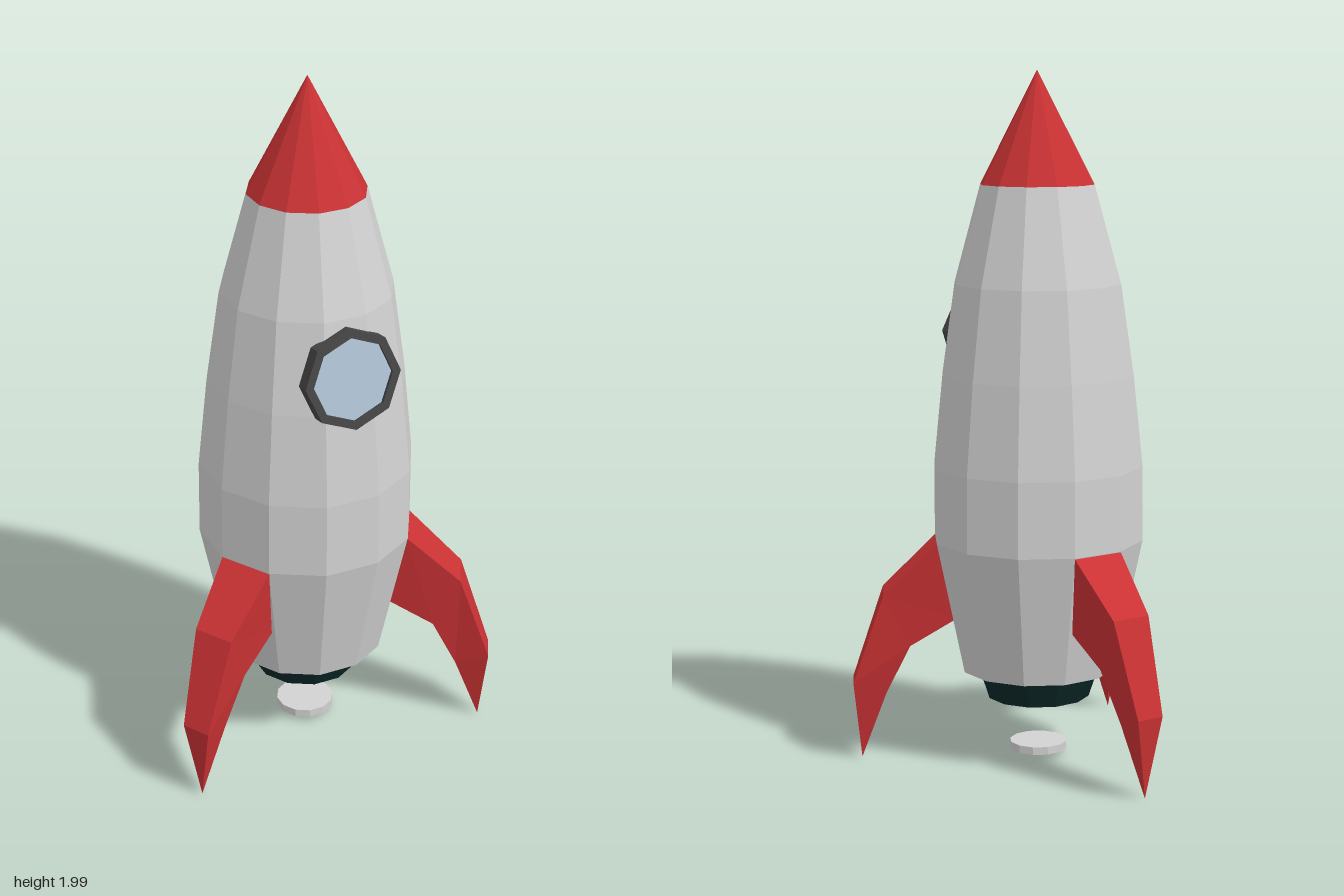
import * as THREE from 'three';

const SIDES = 12;
const AXIS_Z = 0.115;
const ROUND = 1 / Math.cos(Math.PI / SIDES); // flat-to-flat radius -> corner radius

const paint = (name, color) => {
  const m = new THREE.MeshStandardMaterial({ color });
  m.name = name;
  return m;
};

// Facet a geometry so every face gets its own normal
function faceted(geometry) {
  const g = geometry.index ? geometry.toNonIndexed() : geometry;
  g.computeVertexNormals();
  return g;
}

function addMesh(parent, name, geometry, material) {
  const mesh = new THREE.Mesh(faceted(geometry), material);
  mesh.name = name;
  parent.add(mesh);
  return mesh;
}

// Twelve-sided turned part from [radius, height] pairs, bottom to top
function turned(profile) {
  const points = profile.map(([r, y]) => new THREE.Vector2(r * ROUND, y));
  return new THREE.LatheGeometry(points, SIDES).rotateY(Math.PI / SIDES);
}

// Octagon outline with a corner on each axis
function octagon(radius, PathType) {
  const path = new PathType();
  for (let i = 0; i < 8; i++) {
    const a = (i * Math.PI) / 4;
    path[i ? 'lineTo' : 'moveTo'](radius * Math.cos(a), radius * Math.sin(a));
  }
  path.closePath();
  return path;
}

// Curved fin pointing along +z, lofted through four-cornered sections down to a point
function finGeometry() {
  // outer: half width, height, reach; inner: half width, height, reach
  const sections = [
    [0.08, 0.66, 0.293, 0.056, 0.435, 0.24],
    [0.06, 0.51, 0.45, 0.05, 0.355, 0.375],
    [0.042, 0.245, 0.54, 0.03, 0.21, 0.445],
    [0, 0.012, 0.517, 0, 0.012, 0.517],
  ].map(([wo, yo, ro, wi, yi, ri]) => [
    [wo, yo, ro], [-wo, yo, ro], [-wi, yi, ri], [wi, yi, ri],
  ]);
  const positions = [];
  for (let s = 0; s < sections.length - 1; s++) {
    const p = sections[s], q = sections[s + 1];
    for (let j = 0; j < 4; j++) {
      const k = (j + 1) % 4;
      positions.push(...p[j], ...p[k], ...q[k]);
      if (s < sections.length - 2) positions.push(...p[j], ...q[k], ...q[j]);
    }
  }
  const g = new THREE.BufferGeometry();
  g.setAttribute('position', new THREE.Float32BufferAttribute(positions, 3));
  return g;
}

export function createModel() {
  const hull = paint('hull grey', 0xd2d2d2);
  const red = paint('red', 0xcb3234);
  const dark = paint('frame charcoal', 0x464646);
  const glass = paint('pale blue glass', 0xb2c6d8);
  const teal = paint('dark teal', 0x0a2626);

  const rocket = new THREE.Group();
  rocket.name = 'rocket';
  rocket.position.z = AXIS_Z;

  // Hull, closed underneath
  addMesh(rocket, 'hull', turned([
    [0, 0.275], [0.218, 0.275], [0.296, 0.66], [0.295, 0.876],
    [0.269, 1.14], [0.233, 1.4], [0.159, 1.68],
  ]), hull);

  // Nose cone
  addMesh(rocket, 'noseCone', turned([[0.159, 1.68], [0, 2]]), red);

  // Engine nozzle and the loose disc below it
  addMesh(rocket, 'nozzle', turned([[0, 0.19], [0.145, 0.19], [0.174, 0.28]]), teal);
  addMesh(rocket, 'exhaustDisc',
    turned([[0, 0.027], [0.081, 0.027], [0.081, 0.05], [0, 0.05]]), hull);

  // Three fins: one at the back, two towards the front
  for (let i = 0; i < 3; i++) {
    const fin = addMesh(rocket, 'fin' + (i + 1), finGeometry(), red);
    fin.rotation.y = Math.PI + (i * 2 * Math.PI) / 3;
  }

  // Porthole, leaning back with the hull
  const porthole = new THREE.Group();
  porthole.name = 'porthole';
  porthole.position.set(0, 1.245, 0.287);
  porthole.rotation.x = -0.15;
  rocket.add(porthole);

  const ring = octagon(0.141, THREE.Shape);
  ring.holes.push(octagon(0.117, THREE.Path));
  const frame = addMesh(porthole, 'portholeFrame',
    new THREE.ExtrudeGeometry(ring, { depth: 0.042, bevelEnabled: false }), dark);
  frame.position.z = -0.042;

  const pane = addMesh(porthole, 'portholeGlass',
    new THREE.ShapeGeometry(octagon(0.118, THREE.Shape)), glass);
  pane.position.z = -0.01;

  const model = new THREE.Group();
  model.name = 'model';
  model.add(rocket);
  return model;
}
